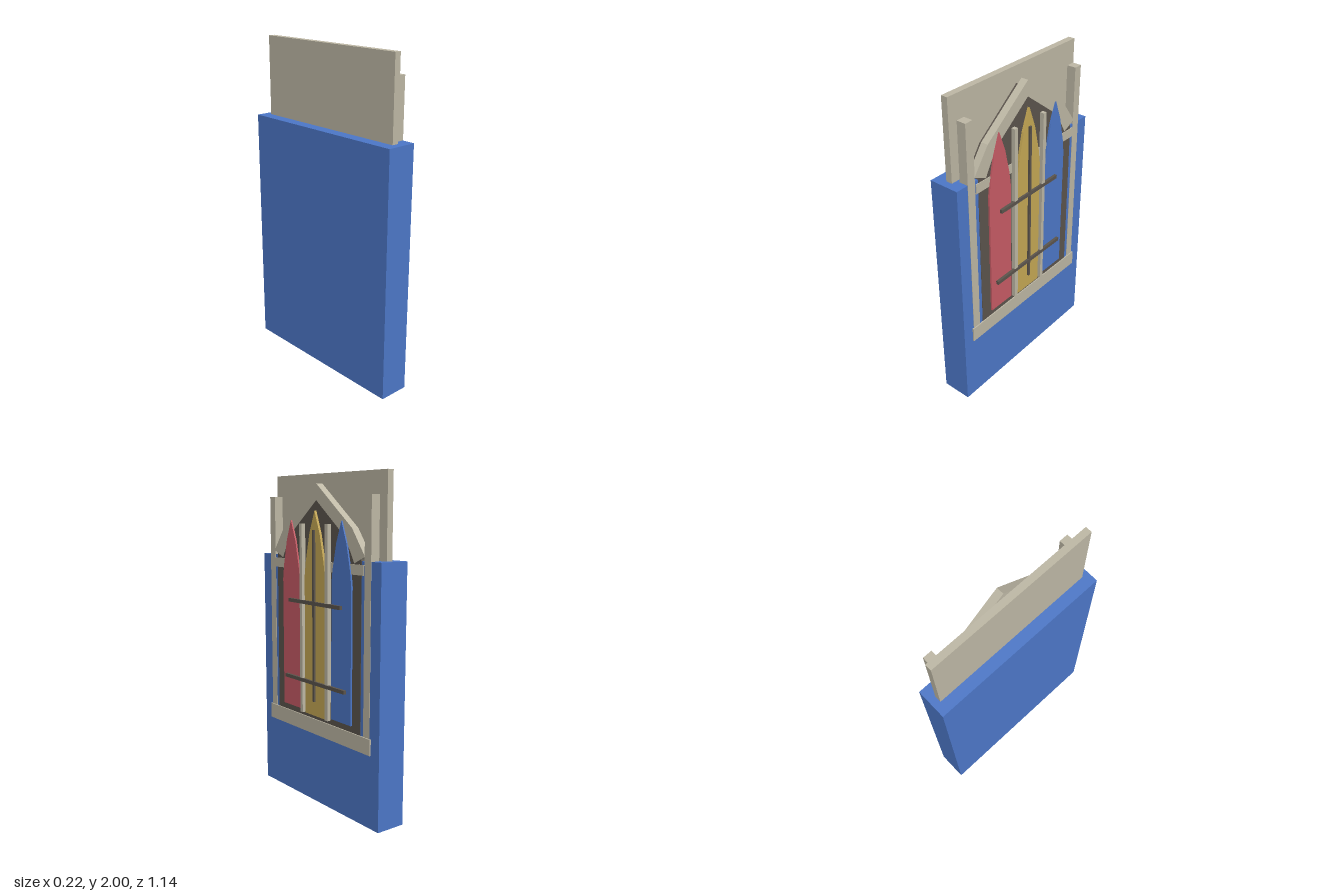
import * as THREE from 'three';

export function createModel() {
  const mat = (name, color) => new THREE.MeshStandardMaterial({ name, color });
  const blue = mat('blue', 0x4d78c9);
  const stone = mat('stone', 0xbfb9a6);
  const dark = mat('dark', 0x5c554d);
  const red = mat('red', 0xc95c66);
  const gold = mat('gold', 0xc7a955);

  // Built facing +z, then turned to face +x
  const window_ = new THREE.Group();
  window_.name = 'archedWindow';
  window_.rotation.y = Math.PI / 2;

  const add = (name, geometry, material) => {
    const mesh = new THREE.Mesh(geometry, material);
    mesh.name = name;
    window_.add(mesh);
    return mesh;
  };
  // Box from its limits on each axis
  const box = (name, material, x0, x1, y0, y1, z0, z1) =>
    add(name, new THREE.BoxGeometry(x1 - x0, y1 - y0, z1 - z0), material)
      .position.set((x0 + x1) / 2, (y0 + y1) / 2, (z0 + z1) / 2);
  // Flat plate from an outline of [x, y] points
  const plate = (name, material, points, z0, z1) => {
    const shape = new THREE.Shape(points.map(([x, y]) => new THREE.Vector2(x, y)));
    const geometry = new THREE.ExtrudeGeometry(shape, { depth: z1 - z0, bevelEnabled: false });
    geometry.translate(0, 0, z0);
    add(name, geometry, material);
  };
  const mirror = (points) => points.map(([x, y]) => [-x, y]).reverse();

  // Wall and raised back panel
  box('wall', blue, -0.57, 0.57, 0, 1.515, -0.11, 0.077);
  box('backPanel', stone, -0.525, 0.525, 1.4, 2, -0.04, 0);

  // Dark pointed recess panel
  const side = [[0.41, 0.5], [0.41, 1.515], [0.305, 1.665]];
  plate('recessPanel', dark, [...side, [0, 1.9], ...mirror(side)], 0, 0.079);

  // Pointed arch moulding
  const outer = [[0.44, 1.54], [0.33, 1.69]];
  const inner = [[0.35, 1.5], [0.27, 1.64]];
  plate('archMoulding', stone,
    [...outer, [0, 1.94], ...mirror(outer), ...mirror(inner).reverse(), [0, 1.845], ...inner.slice().reverse()],
    0.036, 0.081);

  // Frame: sill, cross beam, side posts and mullions
  box('sill', stone, -0.5, 0.5, 0.435, 0.53, 0.03, 0.086);
  box('crossBeam', stone, -0.43, 0.43, 1.437, 1.495, 0.04, 0.083);
  for (const s of [-1, 1]) {
    const post = s * 0.462, mullion = s * 0.125;
    box('sidePost', stone, post - 0.027, post + 0.027, 0.53, 1.87, 0.022, 0.079);
    box('mullion', stone, mullion - 0.0125, mullion + 0.0125, 0.555, 1.71, 0.075, 0.105);
  }

  // Coloured lancet panes
  const lancet = (name, material, x, half, base, shoulder, tip, front) => {
    const rise = tip - shoulder;
    const edge = [[half, base], [half, shoulder], [half * 0.87, shoulder + rise * 0.24],
      [half * 0.5, shoulder + rise * 0.66]];
    plate(name, material,
      [...edge, [0, tip], ...mirror(edge)].map(([px, y]) => [px + x, y]), 0.076, front);
  };
  lancet('redPane', red, -0.246, 0.09, 0.57, 1.37, 1.73, 0.09);
  lancet('goldPane', gold, 0, 0.1, 0.555, 1.4, 1.785, 0.094);
  lancet('bluePane', blue, 0.246, 0.09, 0.57, 1.37, 1.73, 0.09);

  // Iron bars
  box('upperBar', dark, -0.253, 0.253, 1.233, 1.255, 0.088, 0.107);
  box('lowerBar', dark, -0.295, 0.295, 0.75, 0.772, 0.088, 0.107);
  box('uprightBar', dark, -0.008, 0.008, 0.645, 1.675, 0.09, 0.106);

  const model = new THREE.Group();
  model.name = 'model';
  model.add(window_);
  return model;
}
